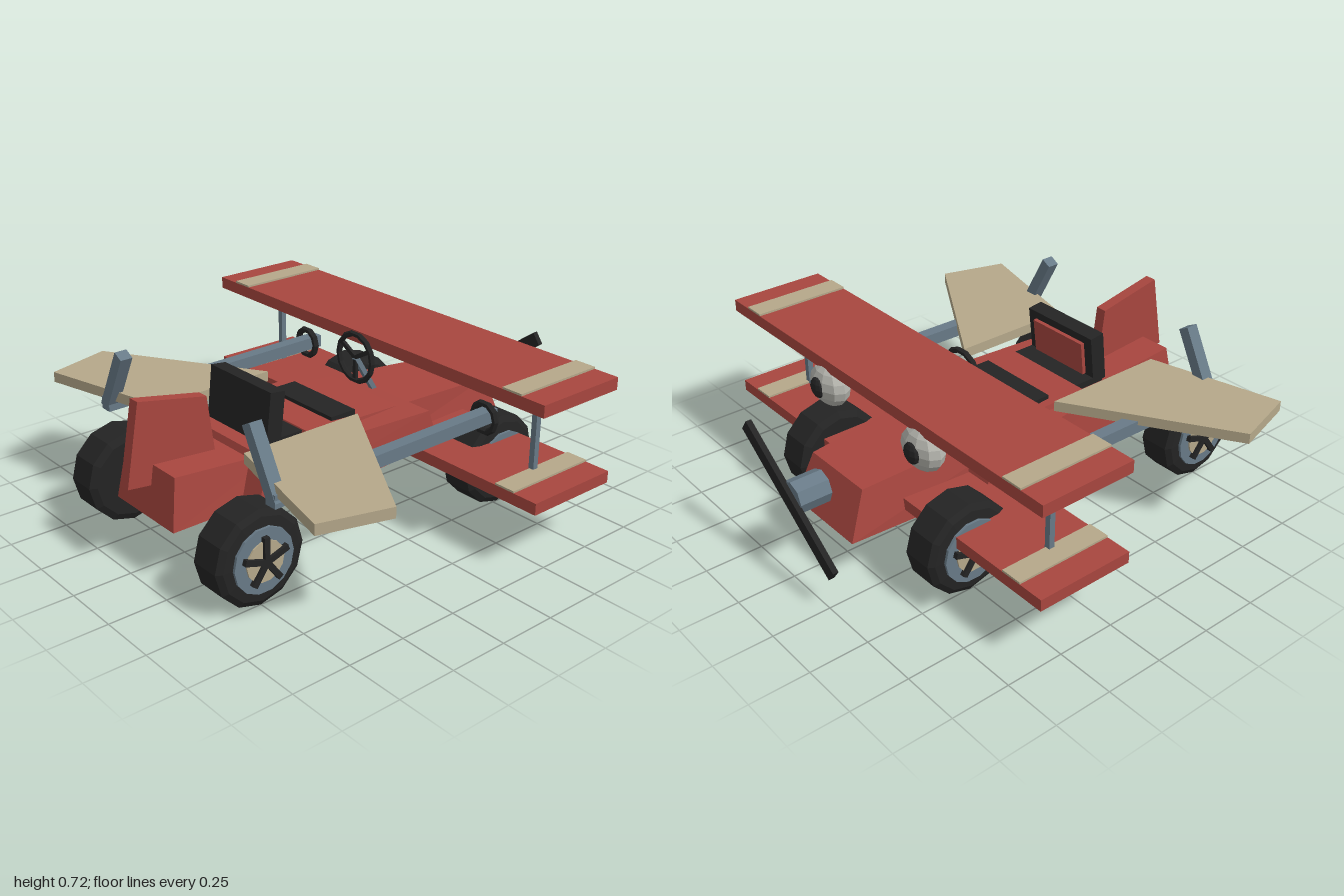
import * as THREE from 'three';

const mat = (name, color) => {
  const m = new THREE.MeshStandardMaterial({ color });
  m.name = name;
  return m;
};

// Facet every polygon of a geometry
function flat(geo) {
  const g = geo.index ? geo.toNonIndexed() : geo;
  g.computeVertexNormals();
  return g;
}

const box = (w, h, d) => new THREE.BoxGeometry(w, h, d);

// Box whose corners are placed by rule: each end gives half widths, heights and z at bottom and top
// end = { wb, wt, yb, yt, zb, zt }
function taperedBox(rear, front) {
  const g = box(2, 2, 2), p = g.attributes.position;
  for (let i = 0; i < p.count; i++) {
    const e = p.getZ(i) > 0 ? rear : front, top = p.getY(i) > 0, s = Math.sign(p.getX(i));
    p.setXYZ(i, s * (top ? e.wt : e.wb), top ? e.yt : e.yb, top ? e.zt : e.zb);
  }
  return flat(g);
}

// Flat plate from an outline, thickness along the shape's own z
const plate = (pts, depth) => new THREE.ExtrudeGeometry(
  new THREE.Shape(pts.map(([a, b]) => new THREE.Vector2(a, b))), { depth, bevelEnabled: false });

export function createModel() {
  const red = mat('red paint', 0xa8463f);
  const black = mat('black rubber', 0x242424);
  const tan = mat('tan canvas', 0xb5a88a);
  const steel = mat('blue grey metal', 0x687a87);
  const pale = mat('pale grey', 0xb4b4ad);

  const model = new THREE.Group();
  model.name = 'biplaneCar';
  const add = (name, geo, material, x = 0, y = 0, z = 0, parent = model) => {
    const m = new THREE.Mesh(geo, material);
    m.name = name;
    m.position.set(x, y, z);
    parent.add(m);
    return m;
  };

  // Hull: long nose, wide cockpit sides and tail
  add('mainBody', taperedBox(
    { wb: 0.27, wt: 0.245, yb: 0.2, yt: 0.475, zb: 0.38, zt: 0.3 },
    { wb: 0.2, wt: 0.17, yb: 0.2, yt: 0.4, zb: -0.85, zt: -0.77 }), red);
  add('cockpitSides', taperedBox(
    { wb: 0.29, wt: 0.28, yb: 0.25, yt: 0.44, zb: 0.6, zt: 0.53 },
    { wb: 0.345, wt: 0.335, yb: 0.31, yt: 0.44, zb: -0.3, zt: -0.26 }), red);
  add('tail', taperedBox(
    { wb: 0.195, wt: 0.17, yb: 0.23, yt: 0.44, zb: 0.92, zt: 0.885 },
    { wb: 0.195, wt: 0.17, yb: 0.23, yt: 0.4, zb: 0.4, zt: 0.4 }), red);

  // Tail fin, drawn in (z, y)
  const fin = plate([[-1.0, 0.37], [-0.59, 0.32], [-0.63, 0.65], [-0.935, 0.71]], 0.05);
  fin.rotateY(Math.PI / 2);
  add('tailFin', fin, red, -0.025);

  // Seat and cockpit strip
  add('cockpitStrip', box(0.39, 0.03, 0.125), black, 0, 0.466, 0.088);
  add('seatCushion', box(0.39, 0.06, 0.16), black, 0, 0.44, 0.38);
  const seat = new THREE.Group();
  seat.name = 'seatBack';
  seat.position.set(0, 0.555, 0.43);
  seat.rotation.x = -0.12;
  model.add(seat);
  add('seatFrame', box(0.39, 0.22, 0.07), black, 0, 0, 0, seat);
  add('seatPanel', box(0.3, 0.15, 0.02), red, 0, 0.0, -0.042, seat);

  // Steering wheel and column
  const steering = new THREE.Group();
  steering.name = 'steeringWheel';
  steering.position.set(0, 0.605, -0.148);
  model.add(steering);
  add('steeringRim', flat(new THREE.TorusGeometry(0.104, 0.013, 6, 14)), black, 0, 0, 0, steering);
  for (let i = 0; i < 3; i++) {
    const spoke = box(0.018, 0.1, 0.014);
    spoke.translate(0, 0.05, 0);
    add('steeringSpoke', spoke, black, 0, 0, 0, steering).rotation.z = Math.PI / 3 + i * Math.PI * 2 / 3;
  }
  add('steeringColumn', box(0.022, 0.2, 0.022), steel, 0, 0.52, -0.2).rotation.x = 0.55;

  // Propeller
  const hub = new THREE.CylinderGeometry(0.07, 0.07, 0.14, 8);
  hub.rotateX(Math.PI / 2);
  add('propellerHub', flat(hub), steel, 0, 0.365, -0.91);
  add('propellerBlade', box(0.685, 0.06, 0.024), black, 0, 0.365, -0.988).rotation.z = 0.63;

  // Upper wing
  add('upperWing', box(2, 0.052, 0.425), red, 0, 0.68, -0.395);

  // Wheel pieces, axle along x, outer face to +x
  const tyreGeo = new THREE.LatheGeometry(
    [[0, -0.08], [0.17, -0.08], [0.2, -0.065], [0.2, 0.065], [0.175, 0.08], [0.12, 0.085], [0, 0.085]]
      .map(([r, h]) => new THREE.Vector2(r, h)), 12);
  const tyre = flat(tyreGeo).rotateZ(-Math.PI / 2);
  const disc = (r, h) => flat(new THREE.CylinderGeometry(r, r, h, 14)).rotateZ(-Math.PI / 2);
  const rim = disc(0.135, 0.03), cap = disc(0.085, 0.03);
  const wheelSpoke = box(0.02, 0.105, 0.024).translate(0, 0.05, 0);

  for (const s of [1, -1]) {
    // Wheels
    for (const [name, z] of [['frontWheel', -0.52], ['rearWheel', 0.75]]) {
      const wheel = new THREE.Group();
      wheel.name = name;
      wheel.position.set(s * 0.435, 0.2, z);
      wheel.rotation.y = s > 0 ? 0 : Math.PI;
      model.add(wheel);
      add('tyre', tyre, black, 0, 0, 0, wheel);
      add('rim', rim, steel, 0.08, 0, 0, wheel);
      add('hubCap', cap, tan, 0.087, 0, 0, wheel);
      for (let i = 0; i < 5; i++)
        add('wheelSpoke', wheelSpoke, black, 0.105, 0, 0, wheel).rotation.x = i * Math.PI * 2 / 5;
    }

    // Lower wing, canvas bands and wing strut
    add('lowerWing', box(0.8, 0.05, 0.43), red, s * 0.6, 0.28, -0.39);
    add('upperBand', box(0.095, 0.009, 0.425), tan, s * 0.84, 0.71, -0.395);
    add('lowerBand', box(0.095, 0.009, 0.43), tan, s * 0.84, 0.309, -0.39);
    add('wingStrut', box(0.025, 0.36, 0.025), steel, s * 0.8, 0.48, -0.385);

    // Swept rear wing, drawn in (x, z)
    const outline = [[0.29, 0.095], [0.96, 0.51], [0.875, 0.8], [0.29, 0.655]].map(([x, z]) => [s * x, z]);
    const wing = plate(outline, 0.045);
    wing.rotateX(Math.PI / 2);
    add('rearWing', wing, tan, 0, 0.515, 0);

    // Side rail with a ring on its front end, and the slanted rear post
    add('sideRail', box(0.055, 0.055, 1.14), steel, s * 0.557, 0.461, 0.17).rotation.x = 0.01;
    add('railRing', flat(new THREE.TorusGeometry(0.062, 0.015, 6, 10)), black, s * 0.563, 0.463, -0.345);
    add('rearPost', box(0.05, 0.3, 0.055), steel, s * 0.497, 0.572, 0.715).rotation.z = s * 0.49;

    // Headlamps with dark centres
    const lamp = flat(new THREE.SphereGeometry(1, 10, 8)).scale(0.11, 0.092, 0.066);
    lamp.computeVertexNormals();
    add('headlamp', lamp, pale, s * 0.31, 0.582, -0.582);
    const pupil = flat(new THREE.SphereGeometry(1, 10, 6)).scale(0.045, 0.045, 0.022);
    pupil.computeVertexNormals();
    add('lampCentre', pupil, black, s * 0.315, 0.582, -0.638);
  }
  return model;
}
